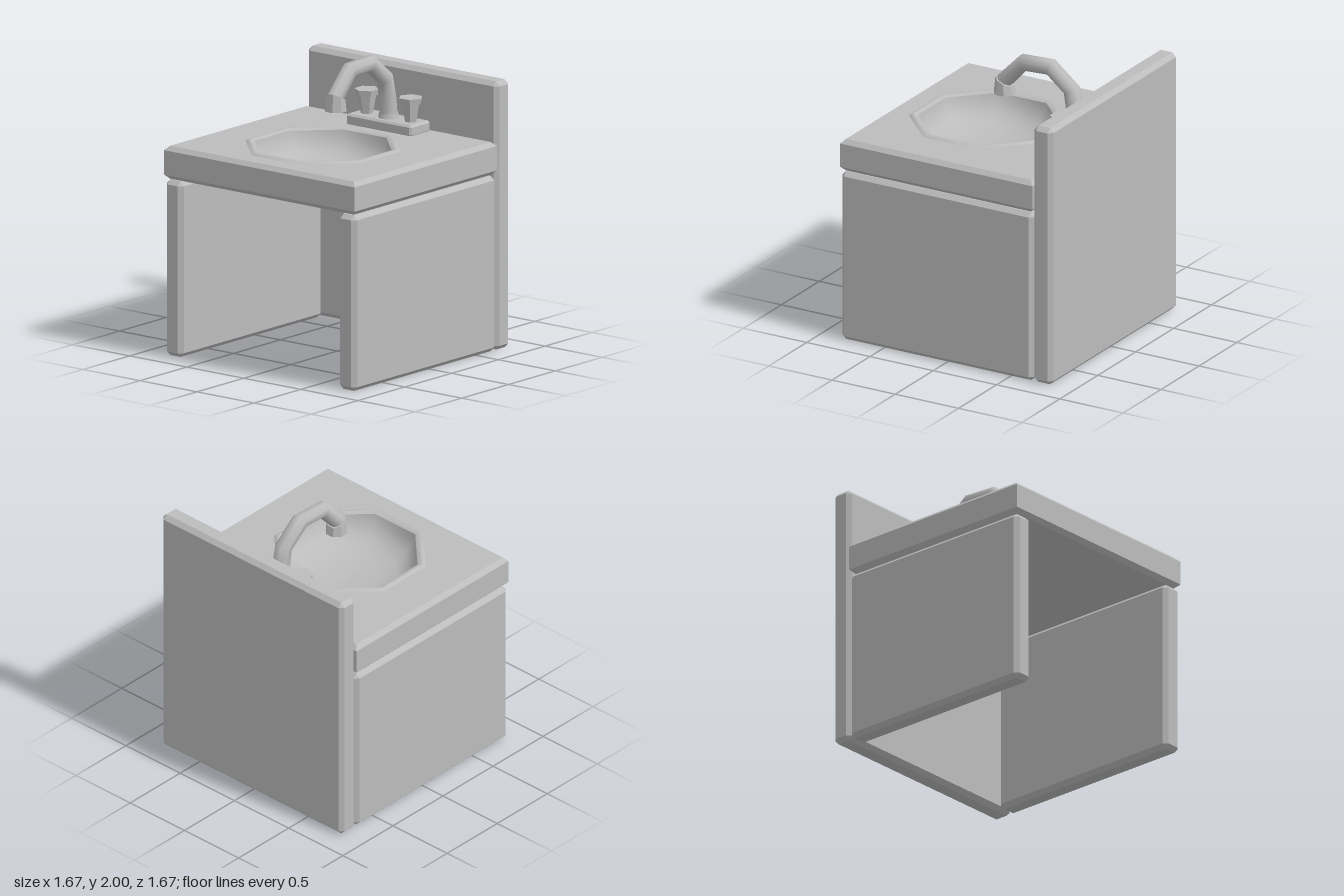
import * as THREE from 'three';
import { ConvexGeometry } from 'three/addons/geometries/ConvexGeometry.js';

const grey = new THREE.MeshStandardMaterial({ color: 0xbcbcbc, side: THREE.DoubleSide });
grey.name = 'grey';
const EIGHTH = Math.PI / 8;
const octRadius = (apothem) => apothem / Math.cos(EIGHTH);

// Box between two corners with every edge chamfered by b
function chamferBox([x0, y0, z0], [x1, y1, z1], b) {
  const c = [(x0 + x1) / 2, (y0 + y1) / 2, (z0 + z1) / 2];
  const h = [(x1 - x0) / 2, (y1 - y0) / 2, (z1 - z0) / 2];
  const pts = [];
  for (const sx of [-1, 1]) for (const sy of [-1, 1]) for (const sz of [-1, 1]) {
    const s = [sx, sy, sz];
    for (let full = 0; full < 3; full++) {
      pts.push(new THREE.Vector3(...s.map((v, i) => c[i] + v * (h[i] - (i === full ? 0 : b)))));
    }
  }
  return new ConvexGeometry(pts);
}

// Smooth tube through rings [z, y, direction angle, radius] in the plane x = 0
function loftTube(rings, sides = 8) {
  const pos = [], idx = [];
  rings.forEach(([z, y, a, r], i) => {
    for (let j = 0; j < sides; j++) {
      const t = (j / sides) * Math.PI * 2 + Math.PI / sides;
      const u = r * Math.sin(t) / Math.cos(Math.PI / sides);
      pos.push(r * Math.cos(t) / Math.cos(Math.PI / sides), y + u * Math.cos(a), z - u * Math.sin(a));
      if (i > 0) {
        const k = (j + 1) % sides, p = (i - 1) * sides, q = i * sides;
        idx.push(p + j, q + k, q + j, p + j, p + k, q + k);
      }
    }
  });
  const g = new THREE.BufferGeometry();
  g.setAttribute('position', new THREE.Float32BufferAttribute(pos, 3));
  g.setIndex(idx);
  g.computeVertexNormals();
  return g;
}

// Octagonal lathe from [apothem, y] pairs
const octLathe = (profile) => new THREE.LatheGeometry(
  profile.map(([a, y]) => new THREE.Vector2(octRadius(a), y)), 8, EIGHTH);

export function createModel() {
  const model = new THREE.Group();
  const add = (name, geometry, parent = model) => {
    const mesh = new THREE.Mesh(geometry, grey);
    mesh.name = name;
    parent.add(mesh);
    return mesh;
  };

  // Cabinet panels
  add('backPanel', chamferBox([-0.835, 0, -0.835], [0.835, 1.87, -0.685], 0.03));
  add('leftPanel', chamferBox([0.685, 0, -0.685], [0.835, 1.225, 0.835], 0.03));
  add('rightPanel', chamferBox([-0.835, 0, -0.685], [-0.685, 1.225, 0.835], 0.03));

  // Countertop with an octagonal basin opening
  const bx = 0.005, bz = 0.16, bevel = 0.03;
  const top = new THREE.Shape([[-0.835, -0.835], [0.835, -0.835], [0.835, 0.685], [-0.835, 0.685]]
    .map(([x, y]) => new THREE.Vector2(x, y)));
  const hole = [];
  for (let i = 0; i < 8; i++) {
    const a = EIGHTH - i * Math.PI / 4, r = octRadius(0.455);
    hole.push(new THREE.Vector2(bx + r * Math.cos(a), -bz + r * Math.sin(a)));
  }
  top.holes.push(new THREE.Path(hole));
  const slab = new THREE.ExtrudeGeometry(top, {
    depth: 0.23 - 2 * bevel, bevelThickness: bevel, bevelSize: bevel, bevelOffset: -bevel, bevelSegments: 1,
  });
  slab.rotateX(-Math.PI / 2).translate(0, 1.23 + bevel, 0);
  add('countertop', slab);
  add('countertopUnderside', new THREE.CylinderGeometry(octRadius(0.485), octRadius(0.485), 0.008, 8, 1, false, EIGHTH)
    .translate(bx, 1.234, bz));

  // Basin: raised lip and rounded bowl
  const basin = new THREE.Group();
  basin.name = 'basin';
  basin.position.set(bx, 0, bz);
  model.add(basin);
  add('basinLip', octLathe([[0.507, 1.459], [0.49, 1.473], [0.472, 1.476], [0.45, 1.462]]), basin);
  add('basinBowl', octLathe([[0.45, 1.462], [0.435, 1.4], [0.39, 1.335], [0.31, 1.285], [0.17, 1.255], [0, 1.246]]), basin);

  // Tap base plate
  add('tapBase', chamferBox([-0.28, 1.45, -0.645], [0.29, 1.532, -0.43], 0.014));

  // Hexagonal tap handles
  for (const [name, x, turn] of [['rightHandle', -0.185, 0], ['leftHandle', 0.2, 0.6]]) {
    const handle = new THREE.Group();
    handle.name = name;
    handle.position.set(x, 0, -0.54);
    handle.rotation.y = turn;
    model.add(handle);
    const hex = (part, rTop, rBottom, y0, y1) => {
      const g = new THREE.CylinderGeometry(rTop, rBottom, y1 - y0, 6).toNonIndexed();
      g.computeVertexNormals();
      add(part, g.translate(0, (y0 + y1) / 2, 0), handle);
    };
    hex('handleStem', 0.065, 0.042, 1.525, 1.665);
    hex('handleCap', 0.086, 0.078, 1.66, 1.7);
  }

  // Curved spout with collar and nozzle
  const spout = new THREE.Group();
  spout.name = 'spout';
  spout.position.x = 0.007;
  model.add(spout);
  add('spoutCollar', new THREE.CylinderGeometry(0.068, 0.076, 0.035, 8, 1, false, EIGHTH)
    .translate(0, 1.546, -0.54), spout);
  add('spoutPipe', loftTube([
    [-0.54, 1.53, Math.PI / 2, 0.06], [-0.525, 1.68, 1.5, 0.058], [-0.5, 1.81, 1.1, 0.056],
    [-0.335, 1.945, 0.35, 0.055], [-0.12, 1.935, -0.4, 0.055], [0.04, 1.765, -0.9, 0.055],
  ]), spout);
  add('spoutNozzle', loftTube([
    [0.028, 1.778, -1.1, 0.05], [0.028, 1.778, -1.1, 0.066], [0.028, 1.684, -Math.PI / 2, 0.072],
    [0.028, 1.684, -Math.PI / 2, 0.055], [0.028, 1.72, -Math.PI / 2, 0.05], [0.028, 1.72, -Math.PI / 2, 0.001],
  ]).toNonIndexed(), spout).geometry.computeVertexNormals();

  return model;
}
